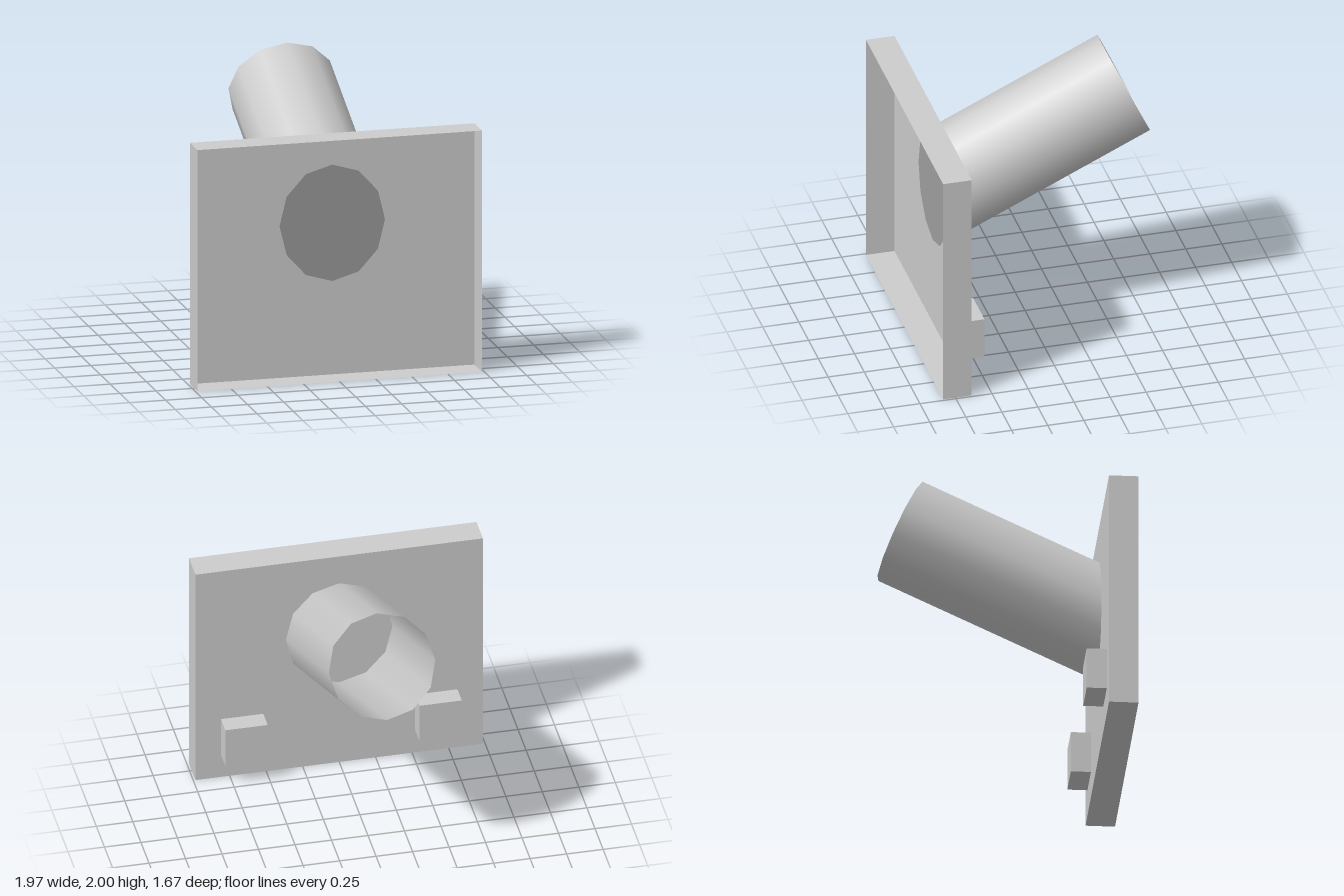
import * as THREE from 'three';

const TILT = THREE.MathUtils.degToRad(25);
const AXIS = new THREE.Vector3(0, Math.sin(TILT), -Math.cos(TILT));
const RADIUS = 0.365, PANEL_Z = 0.637, FRONT_Z = 0.835;

// Slide points along the tube axis until they lie on a vertical plane at z
function slideToPlane(geometry, z, test = () => true) {
  const pos = geometry.attributes.position;
  const p = new THREE.Vector3();
  for (let i = 0; i < pos.count; i++) {
    p.fromBufferAttribute(pos, i);
    if (!test(p)) continue;
    p.addScaledVector(AXIS, (z - p.z) / AXIS.z);
    pos.setXYZ(i, p.x, p.y, p.z);
  }
  return geometry;
}

export function createModel() {
  const model = new THREE.Group();
  const grey = new THREE.MeshStandardMaterial({ color: 0xcccccc, side: THREE.DoubleSide });
  grey.name = 'light grey';

  const add = (name, geometry, x = 0, y = 0, z = 0) => {
    const mesh = new THREE.Mesh(geometry, grey);
    mesh.name = name;
    mesh.position.set(x, y, z);
    model.add(mesh);
  };

  // Shallow tray standing on edge, open at the front
  const tray = new THREE.BoxGeometry(1.97, 1.67, FRONT_Z - PANEL_Z);
  const faces = Array.from(tray.index.array);
  faces.splice(24, 6);
  tray.setIndex(faces);
  tray.clearGroups();
  add('tray', tray, 0, 0.835, (FRONT_Z + PANEL_Z) / 2);

  // Tilted tube, open at the back, cut flush with the tray panel
  const length = 1.457;
  const tube = new THREE.CylinderGeometry(RADIUS, RADIUS, length, 12, 1, true);
  tube.rotateX(TILT - Math.PI / 2);
  const mid = new THREE.Vector3(0, 1.05, PANEL_Z).addScaledVector(AXIS, length / 2);
  tube.translate(mid.x, mid.y, mid.z);
  slideToPlane(tube, PANEL_Z, (p) => p.clone().sub(mid).dot(AXIS) < 0);
  add('tube', tube);

  // Slanted cut face of the tube, keeping the tube's end normals
  const cap = new THREE.CircleGeometry(RADIUS, 12);
  cap.rotateX(TILT);
  cap.translate(0, 1.05, PANEL_Z);
  add('tubeEnd', slideToPlane(cap, PANEL_Z + 0.002));

  // Pair of square blocks on the back of the panel
  for (const side of [-1, 1]) {
    add(side > 0 ? 'leftBlock' : 'rightBlock',
      new THREE.BoxGeometry(0.29, 0.29, 0.135), side * 0.665, 0.325, 0.5685);
  }

  return model;
}
